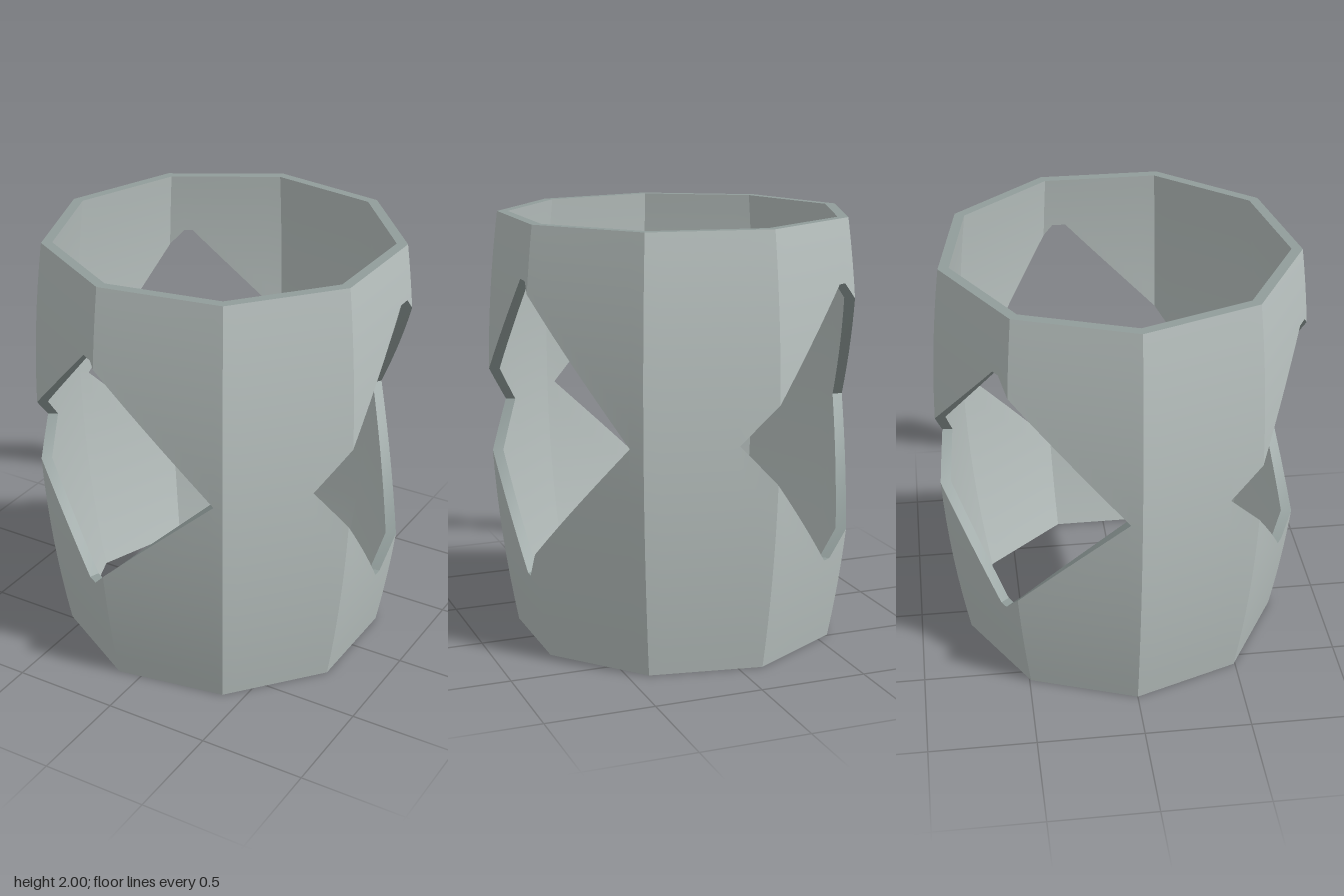
import * as THREE from 'three';
import { toCreasedNormals } from 'three/addons/utils/BufferGeometryUtils.js';

const HEIGHT = 2, WALL = 0.05, MID = 1.07, CENTRE_X = 0.022, ROWS = 8;
const SIDE = 40; // nine sides, in degrees

// Diamond openings: upper and lower outlines as [angle, y]
const holes = [
  { top: [[62.8, MID], [102, 1.66], [106.5, 1.66], [150.6, MID]],
    bottom: [[62.8, MID], [107, 0.48], [111, 0.48], [150.6, MID]] },
  { top: [[183.5, MID], [225, 1.71], [228, 1.71], [271.8, MID]],
    bottom: [[183.5, MID], [228, 0.42], [231, 0.42], [271.8, MID]] },
  { top: [[304.5, MID], [343, 1.75], [347.7, 1.75], [392, MID]],
    bottom: [[304.5, MID], [349, 0.36], [352.2, 0.36], [392, MID]] },
];

// Barrel profile: widest a little above the middle
const radius = (y) => 0.882 - 0.0834 * (y - 1.174) ** 2;

// Point on the nine-sided wall
function point(angle, y, inset) {
  const k = Math.floor((angle - 20) / SIDE);
  const f = (angle - 20) / SIDE - k;
  const r = radius(y) - inset;
  const a = THREE.MathUtils.degToRad(20 + k * SIDE);
  const b = THREE.MathUtils.degToRad(20 + (k + 1) * SIDE);
  return [
    CENTRE_X + r * THREE.MathUtils.lerp(Math.cos(a), Math.cos(b), f),
    y,
    r * THREE.MathUtils.lerp(Math.sin(a), Math.sin(b), f),
  ];
}

// Height of an outline at an angle
function heightAt(line, angle) {
  for (let i = 1; i < line.length; i++) {
    const [a0, y0] = line[i - 1], [a1, y1] = line[i];
    if (angle <= a1) return y0 + ((y1 - y0) * (angle - a0)) / (a1 - a0);
  }
  return MID;
}

function geometry(positions) {
  const g = new THREE.BufferGeometry();
  g.setAttribute('position', new THREE.Float32BufferAttribute(positions, 3));
  return toCreasedNormals(g, 0.3);
}

function namedMaterial(name, color) {
  const material = new THREE.MeshStandardMaterial({ color });
  material.name = name;
  return material;
}

export function createModel() {
  const group = new THREE.Group();
  group.name = 'barrelSleeve';
  const wallGrey = namedMaterial('light grey', 0xbac3c1);
  const edgeGrey = namedMaterial('grey green', 0x919d9b);

  const outer = [], inner = [], rims = [], edges = [];
  const quad = (list, a, b, c, d) => list.push(...a, ...b, ...c, ...a, ...c, ...d);

  // Both faces of a strip of wall, from a lower to an upper pair of heights
  function strip(a0, a1, low, high) {
    const y = (side, j) => THREE.MathUtils.lerp(low[side], high[side], j / ROWS);
    for (let i = 0; i < ROWS; i++) {
      const corners = (inset) => [
        point(a0, y(0, i), inset), point(a0, y(0, i + 1), inset),
        point(a1, y(1, i + 1), inset), point(a1, y(1, i), inset),
      ];
      quad(outer, ...corners(0));
      quad(inner, ...corners(WALL).reverse());
    }
  }

  // Upward face across the wall thickness
  const cap = (a0, a1, h) => [
    point(a0, h[0], 0), point(a0, h[0], WALL), point(a1, h[1], WALL), point(a1, h[1], 0),
  ];

  // Columns at regular steps, side corners and outline corners
  const angles = new Set();
  for (let a = 40; a <= 400; a += 5) angles.add(a);
  for (const { top, bottom } of holes) for (const [a] of [...top, ...bottom]) angles.add(a);
  const columns = [...angles].sort((a, b) => a - b);

  for (let i = 1; i < columns.length; i++) {
    const a0 = columns[i - 1], a1 = columns[i], middle = (a0 + a1) / 2;
    const hole = holes.find(({ top }) => middle > top[0][0] && middle < top[3][0]);
    const outline = (line) => [heightAt(line, a0), heightAt(line, a1)];
    const low = hole ? outline(hole.bottom) : [MID, MID];
    const high = hole ? outline(hole.top) : [MID, MID];
    const floor = [0, 0], ceiling = [HEIGHT, HEIGHT];

    strip(a0, a1, floor, low);
    strip(a0, a1, high, ceiling);
    quad(rims, ...cap(a0, a1, ceiling));
    quad(rims, ...cap(a0, a1, floor).reverse());
    if (hole) {
      quad(edges, ...cap(a0, a1, low));
      quad(edges, ...cap(a0, a1, high).reverse());
    }
  }

  const addPart = (name, positions, material) => {
    const mesh = new THREE.Mesh(geometry(positions), material);
    mesh.name = name;
    group.add(mesh);
  };
  addPart('outerWall', outer, wallGrey);
  addPart('innerWall', inner, wallGrey);
  addPart('endRims', rims, edgeGrey);
  addPart('openingEdges', edges, edgeGrey);
  return group;
}
